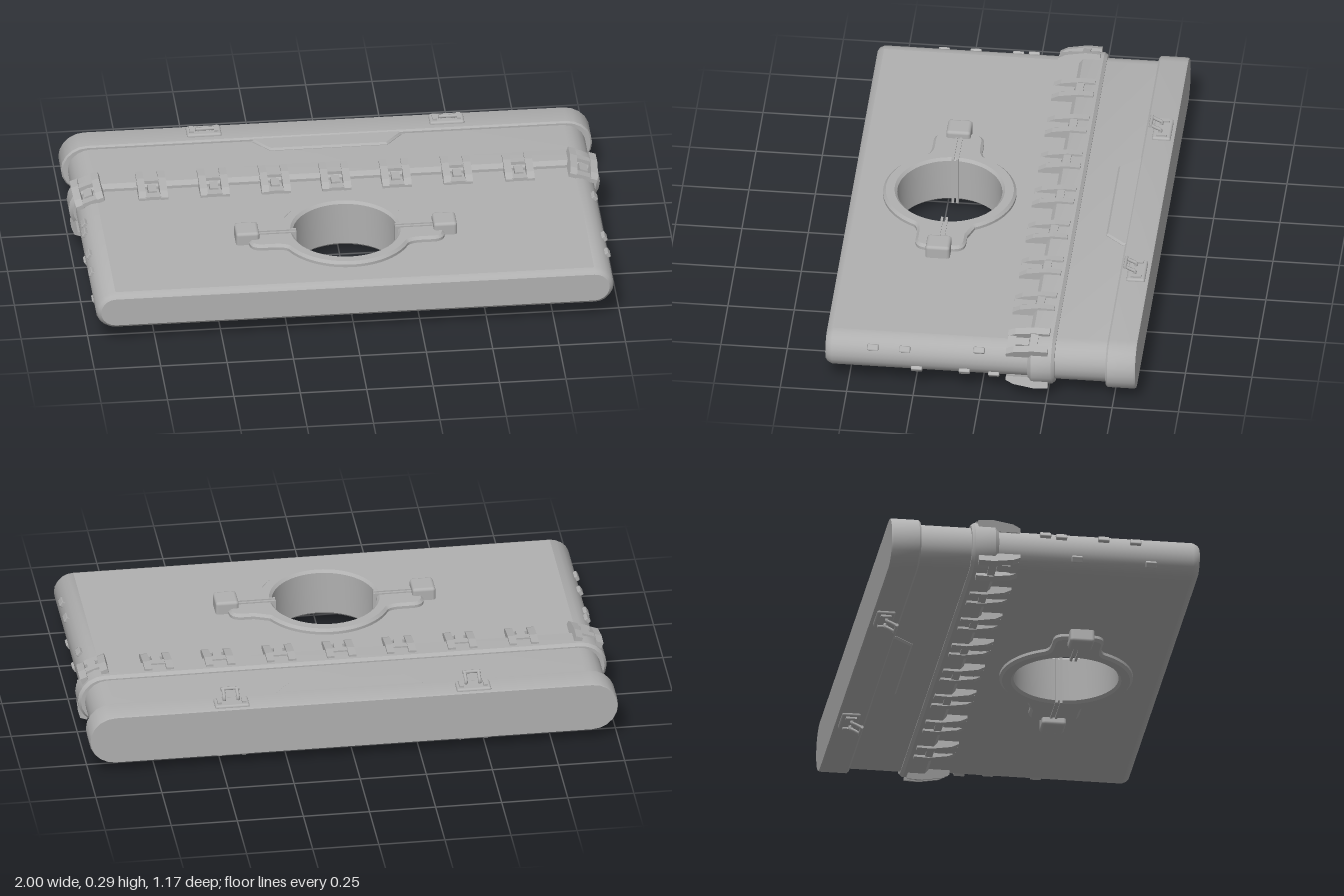
import * as THREE from 'three';
import { toCreasedNormals } from 'three/addons/utils/BufferGeometryUtils.js';
import { RoundedBoxGeometry } from 'three/addons/geometries/RoundedBoxGeometry.js';

const MID = 0.145;      // height of the horizontal symmetry plane
const HALF = 0.074;     // half thickness of the main slab
const FLAT = 0.901;     // where the flat faces turn into the rounded sides
const HOLE_Z = 0.217;

const grey = new THREE.MeshStandardMaterial({ color: 0xb0b0b0 });
grey.name = 'plain grey';

function add(parent, name, geometry, x = 0, y = 0, z = 0) {
  const mesh = new THREE.Mesh(geometry, grey);
  mesh.name = name;
  mesh.position.set(x, y, z);
  parent.add(mesh);
  return mesh;
}

// Lofts stadium sections [z, halfWidth, halfHeight] from front to back.
// openBand leaves out the flat top and bottom of one band.
function stadiumLoft(sections, openBand = -1) {
  const n = 10, count = 2 * n + 2, pos = [], index = [];
  for (const [z, w, h] of sections) {
    for (let j = 0; j < count; j++) {
      const right = j <= n;
      const a = -Math.PI / 2 + Math.PI * (right ? j : j - 1) / n;
      pos.push((right ? 1 : -1) * (w - h) + h * Math.cos(a), h * Math.sin(a), z);
    }
  }
  for (let i = 0; i < sections.length - 1; i++) {
    for (let j = 0; j < count; j++) {
      if (i === openBand && (j === n || j === count - 1)) continue;
      const k = (j + 1) % count;
      const a = i * count + j, b = i * count + k, c = b + count, d = a + count;
      index.push(a, d, c, a, c, b);
    }
  }
  const front = pos.length / 3, last = (sections.length - 1) * count;
  pos.push(0, 0, sections[0][0], 0, 0, sections[sections.length - 1][0]);
  for (let j = 0; j < count; j++) {
    const k = (j + 1) % count;
    index.push(front, j, k, front + 1, last + k, last + j);
  }
  const g = new THREE.BufferGeometry();
  g.setAttribute('position', new THREE.Float32BufferAttribute(pos, 3));
  g.setIndex(index);
  return toCreasedNormals(g, 0.6);
}

// Extrudes a plan shape (x, -z) upwards from y = 0 with chamfered edges
function plate(shape, height, bevel) {
  const g = new THREE.ExtrudeGeometry(shape, {
    depth: height - 2 * bevel, bevelThickness: bevel, bevelSize: bevel,
    bevelOffset: -bevel, bevelSegments: 1, curveSegments: 28,
  });
  g.translate(0, 0, bevel).rotateX(-Math.PI / 2);
  return toCreasedNormals(g, 0.5);
}

function polygon(points) {
  return new THREE.Shape(points.map(([x, y]) => new THREE.Vector2(x, y)));
}

// Toggle clasp: two sloping arms, a pad and a raised latch; y = 0 is the slab face
function clasp() {
  const g = new THREE.Group();
  g.name = 'clasp';
  const profile = polygon([[-0.255, 0], [-0.255, 0.034], [-0.2, 0.036],
    [-0.125, 0.024], [-0.097, 0.01], [-0.097, -0.006], [-0.17, -0.006]]);
  const arm = new THREE.ExtrudeGeometry(profile, { depth: 0.028, bevelEnabled: false });
  arm.translate(0, 0, -0.014).rotateY(-Math.PI / 2);
  for (const s of [-1, 1]) add(g, 'claspArm', arm, s * 0.041);
  add(g, 'claspBridge', new THREE.BoxGeometry(0.06, 0.038, 0.028), 0, 0.013, -0.2);
  add(g, 'claspPad', new THREE.BoxGeometry(0.06, 0.02, 0.032), 0, 0.003, -0.115);
  add(g, 'claspLatch', new THREE.BoxGeometry(0.032, 0.02, 0.05), 0, 0.01, -0.155);
  return g;
}

// Small catch on the rear cap: base plate, two curved hooks and a crossbar
function catchHook() {
  const g = new THREE.Group();
  g.name = 'catch';
  add(g, 'catchBase', new RoundedBoxGeometry(0.13, 0.02, 0.07, 2, 0.008), 0, 0.098, -0.537);
  const path = new THREE.CatmullRomCurve3([[0.1, -0.525], [0.118, -0.532],
    [0.127, -0.515], [0.138, -0.494]].map(([y, z]) => new THREE.Vector3(0, y, z)));
  const hook = new THREE.TubeGeometry(path, 10, 0.0065, 8);
  for (const s of [-1, 1]) {
    add(g, 'hook', hook, s * 0.026);
    add(g, 'catchStud', new THREE.BoxGeometry(0.016, 0.014, 0.04), s * 0.046, 0.108, -0.537);
  }
  const bar = new THREE.CylinderGeometry(0.0065, 0.0065, 0.07, 8).rotateZ(Math.PI / 2);
  add(g, 'hookBar', bar, 0, 0.138, -0.494);
  return g;
}

// Everything that stands on one broad face; heights are measured from MID
function faceDetails() {
  const g = new THREE.Group();
  g.name = 'faceDetails';

  // flat face of the slab, with its round opening
  const face = polygon([[-FLAT, -0.56], [FLAT, -0.56], [FLAT, 0.2], [-FLAT, 0.2]]);
  face.holes.push(new THREE.Path().absarc(0, -HOLE_Z, 0.22, 0, Math.PI * 2, true));
  add(g, 'slabFace', new THREE.ShapeGeometry(face, 28).rotateX(-Math.PI / 2), 0, HALF, 0);

  // row of clasps, the outer ones tilted over the rounded sides
  for (const x of [-FLAT, -0.69, -0.458, -0.227, 0, 0.227, 0.458, 0.69, FLAT]) {
    const pivot = new THREE.Group();
    pivot.name = 'claspMount';
    pivot.position.x = x;
    pivot.rotation.z = Math.abs(x) === FLAT ? -Math.sign(x) * 0.35 : 0;
    const c = clasp();
    c.position.y = HALF;
    pivot.add(c);
    g.add(pivot);
  }

  // pocket on the neck
  const pocket = polygon([[-0.28, 0.49], [-0.28, 0.465], [-0.22, 0.395],
    [0.22, 0.395], [0.28, 0.465], [0.28, 0.49]]);
  add(g, 'pocket', plate(pocket, 0.03, 0.007), 0, 0.064, 0);

  for (const s of [-1, 1]) {
    const c = catchHook();
    c.position.x = s * 0.457;
    g.add(c);
  }
  return g;
}

// Ring with an ear at each side, passing right through the slab
function collarRing() {
  const R = 0.25, w = 0.095, end = 0.368, r = 0.05, a = Math.asin(w / R);
  const s = new THREE.Shape();
  s.absarc(0, 0, R, a + 0.1, Math.PI - a - 0.1, false);
  s.quadraticCurveTo(-R * Math.cos(a), w, -0.28, w);
  s.lineTo(-end + r, w);
  s.quadraticCurveTo(-end, w, -end, w - r);
  s.lineTo(-end, -w + r);
  s.quadraticCurveTo(-end, -w, -end + r, -w);
  s.lineTo(-0.28, -w);
  s.quadraticCurveTo(-R * Math.cos(a), -w, -R * Math.cos(a + 0.1), -R * Math.sin(a + 0.1));
  s.absarc(0, 0, R, Math.PI + a + 0.1, Math.PI * 2 - a - 0.1, false);
  s.quadraticCurveTo(R * Math.cos(a), -w, 0.28, -w);
  s.lineTo(end - r, -w);
  s.quadraticCurveTo(end, -w, end, -w + r);
  s.lineTo(end, w - r);
  s.quadraticCurveTo(end, w, end - r, w);
  s.lineTo(0.28, w);
  s.holes.push(new THREE.Path().absarc(0, 0, 0.197, 0, Math.PI * 2, true));
  return plate(s, 0.19, 0.01);
}

export function createModel() {
  const model = new THREE.Group();
  model.name = 'case';

  // lofted shells, front to back
  add(model, 'slab', stadiumLoft([[0.585, 0.957, 0.056], [0.577, 0.967, 0.066],
    [0.56, 0.975, HALF], [-0.2, 0.975, HALF]], 2), 0, MID, 0);
  add(model, 'band', stadiumLoft([[-0.178, 0.985, 0.085], [-0.192, 1, 0.1],
    [-0.268, 1, 0.1], [-0.28, 0.99, 0.09]]), 0, MID, 0);
  add(model, 'neck', stadiumLoft([[-0.2, 0.975, 0.085], [-0.5, 0.975, 0.085]]), 0, MID, 0);
  add(model, 'rearCap', stadiumLoft([[-0.473, 0.994, 0.092], [-0.48, 1, 0.098],
    [-0.578, 1, 0.098], [-0.585, 0.997, 0.095]]), 0, MID, 0);

  // upper face and the same details turned over for the lower face
  for (const turn of [0, Math.PI]) {
    const f = faceDetails();
    f.position.y = MID;
    f.rotation.z = turn;
    model.add(f);
  }

  // ring, clamp knobs and the ribs along the split
  add(model, 'ring', collarRing(), 0, MID - 0.095, HOLE_Z);
  for (const s of [-1, 1]) {
    add(model, 'clampKnob', new RoundedBoxGeometry(0.088, 0.246, 0.092, 2, 0.012), s * 0.372, MID, HOLE_Z + 0.003);
    for (const t of [-1, 1]) {
      add(model, 'splitRib', new THREE.BoxGeometry(0.15, 0.2, 0.009), s * 0.26, MID, HOLE_Z + t * 0.009);
    }
  }

  // small nubs on the rounded sides: [side, z, height above the middle]
  const nubs = [[1, 0.405, 0.04], [1, 0.285, 0.04], [1, 0.005, 0.05], [1, 0.24, -0.043],
    [1, 0.06, -0.04], [1, -0.05, -0.05], [-1, 0, 0.045], [-1, 0.06, 0.04], [-1, 0.22, 0.04],
    [-1, 0.34, 0.035], [-1, 0.12, -0.042], [-1, 0.4, -0.045]];
  for (const [s, z, h] of nubs) {
    const a = Math.asin(h / HALF);
    const nub = add(model, 'sideNub', new RoundedBoxGeometry(0.024, 0.024, 0.042, 1, 0.004),
      s * (FLAT + HALF * Math.cos(a)), MID + h, z);
    nub.rotation.z = s * a;
  }
  return model;
}
